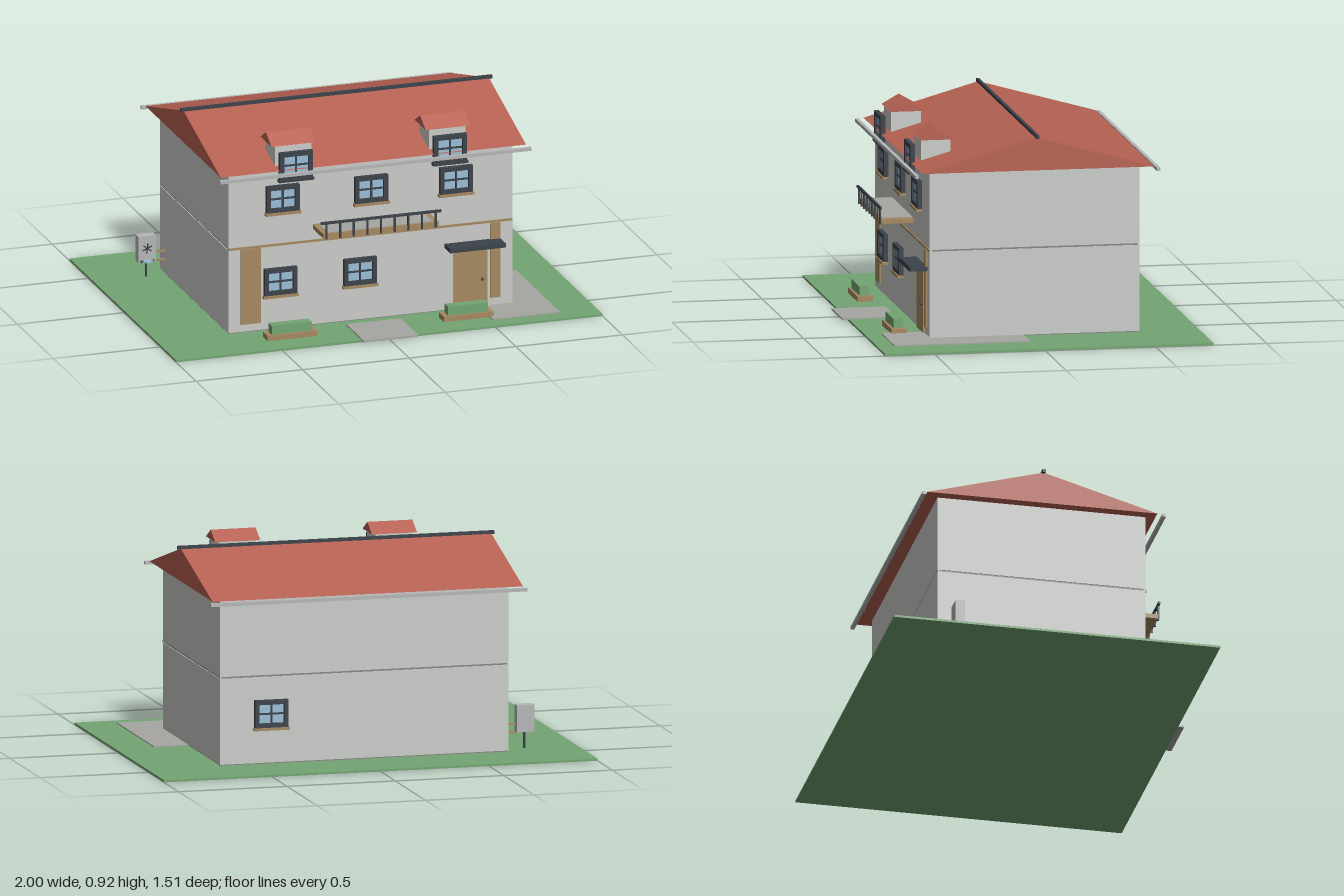
import * as THREE from 'three';

const mat = (name, color) => {
  const m = new THREE.MeshStandardMaterial({ color });
  m.name = name;
  return m;
};

export function createModel() {
  const wall = mat('plaster', 0xcaccc8);
  const trim = mat('joint grey', 0x858784);
  const red = mat('roof tile', 0xb66152);
  const wood = mat('wood', 0xa5885f);
  const dark = mat('dark metal', 0x3c424a);
  const glass = mat('glass', 0x9abdd6);
  const grass = mat('grass', 0x74a573);
  const stone = mat('paving', 0xa6a6a2);
  const metal = mat('light metal', 0xb4b7b6);
  const house = new THREE.Group();
  house.name = 'house';

  const add = (parent, name, geometry, material) => {
    const m = new THREE.Mesh(geometry, material);
    m.name = name;
    parent.add(m);
    return m;
  };
  // Box given by its minimum and maximum on each axis
  const box = (name, material, x0, x1, y0, y1, z0, z1, parent = house) => {
    const m = add(parent, name, new THREE.BoxGeometry(x1 - x0, y1 - y0, z1 - z0), material);
    m.position.set((x0 + x1) / 2, (y0 + y1) / 2, (z0 + z1) / 2);
    return m;
  };
  // Gable roof with its ridge along x
  const gable = (name, x0, x1, y0, y1, z0, z1, ridgeZ) => {
    const s = new THREE.Shape();
    s.moveTo(-z1, y0);
    s.lineTo(-z0, y0);
    s.lineTo(-ridgeZ, y1);
    s.closePath();
    const g = new THREE.ExtrudeGeometry(s, { depth: x1 - x0, bevelEnabled: false });
    g.rotateY(Math.PI / 2);
    g.translate(x0, 0, 0);
    return add(house, name, g, red);
  };

  // Ground and paving
  box('lawn', grass, -1, 1, 0, 0.01, -0.76, 0.725);
  box('frontPath', stone, -0.13, 0.125, 0.008, 0.016, 0.51, 0.755);
  box('sidePath', stone, 0.51, 0.825, 0.008, 0.015, -0.035 + 0.07, 0.65);

  // Recessed core showing as joints between the wall panels
  box('wallCore', trim, -0.663, 0.663, 0.01, 0.765, -0.484, 0.455);
  for (const [y0, y1] of [[0.015, 0.403], [0.411, 0.764]]) {
    for (const s of [-1, 1]) {
      box('sideWall', wall, s > 0 ? 0.655 : -0.667, s > 0 ? 0.667 : -0.655, y0, y1, -0.48, 0.451);
    }
    box('frontWall', wall, -0.66, 0.66, y0, y1, 0.445, 0.46);
    box('backWall', wall, -0.66, 0.66, y0, y1, -0.488, -0.475);
  }
  for (const x of [-0.662, 0.662]) for (const z of [-0.483, 0.455])
    box('cornerPost', wall, x - 0.004, x + 0.004, 0.015, 0.764, z - 0.004, z + 0.004);
  box('floorBand', wood, -0.665, 0.665, 0.402, 0.412, 0.455, 0.465);

  // Main roof, ridge cap and gutters
  gable('mainRoof', -0.716, 0.716, 0.764, 0.912, -0.545, 0.502, -0.016);
  box('ridgeCap', dark, -0.73, 0.73, 0.908, 0.924, -0.023, -0.009);
  for (const z of [-0.562, 0.53])
    box('gutter', metal, -0.73, 0.73, 0.745, 0.76, z - 0.008, z + 0.008);

  // Framed window with four panes and a sill, built facing +z
  const makeWindow = (x, y, z, back = false) => {
    const w = new THREE.Group();
    w.name = 'window';
    const W = 0.077, H = 0.062, t = 0.02;
    const s = new THREE.Shape([[-W, -H], [W, -H], [W, H], [-W, H]].map(p => new THREE.Vector2(...p)));
    const a = W - t, b = H - t;
    s.holes.push(new THREE.Path([[-a, -b], [-a, b], [a, b], [a, -b]].map(p => new THREE.Vector2(...p))));
    add(w, 'windowFrame', new THREE.ExtrudeGeometry(s, { depth: 0.022, bevelEnabled: false }), dark);
    box('windowPane', glass, -a, a, -b, b, 0.002, 0.01, w);
    box('mullion', dark, -0.004, 0.004, -b, b, 0.006, 0.016, w);
    box('transom', dark, -a, a, -0.004, 0.004, 0.006, 0.016, w);
    box('windowSill', wood, -0.082, 0.082, -H - 0.012, -H, 0, 0.028, w);
    w.position.set(x, y, z);
    if (back) w.rotation.y = Math.PI;
    house.add(w);
    return w;
  };
  for (const x of [-0.415, 0, 0.398]) makeWindow(x, 0.625, 0.459);
  makeWindow(-0.425, 0.238, 0.459);
  makeWindow(-0.052, 0.244, 0.459);
  makeWindow(0.433, 0.238, -0.49, true);

  // Dormers
  for (const x of [-0.362, 0.361]) {
    box('dormerBody', wall, x - 0.085, x + 0.085, 0.765, 0.872, 0.325, 0.46);
    gable('dormerRoof', x - 0.104, x + 0.104, 0.87, 0.914, 0.313, 0.468, 0.39);
    const w = makeWindow(x, 0.785, 0.484);
    w.name = 'dormerWindow';
    w.children[4].material = dark;
  }

  // Balcony
  box('balconySlab', wood, -0.27, 0.272, 0.463, 0.484, 0.455, 0.606);
  box('balconyFloor', stone, -0.247, 0.245, 0.482, 0.487, 0.46, 0.597);
  box('handrail', dark, -0.282, 0.282, 0.53, 0.541, 0.604, 0.614);
  for (let i = 0; i < 9; i++) {
    const x = -0.256 + i * 0.064;
    box('baluster', dark, x - 0.004, x + 0.004, 0.46, 0.533, 0.605, 0.613);
  }

  // Door, canopy and tall wooden panels
  box('door', wood, 0.39, 0.547, 0.016, 0.305, 0.455, 0.469);
  const knob = add(house, 'doorKnob', new THREE.SphereGeometry(0.007, 12, 8), dark);
  knob.position.set(0.522, 0.145, 0.473);
  box('doorCanopy', dark, 0.348, 0.608, 0.305, 0.325, 0.458, 0.54);
  box('woodPanelWide', wood, -0.61, -0.515, 0.05, 0.4, 0.455, 0.468);
  box('woodPanelNarrow', wood, 0.56, 0.607, 0.05, 0.4, 0.455, 0.468);

  // Planters
  for (const x of [-0.414, 0.412]) {
    box('planter', wood, x - 0.117, x + 0.117, 0.01, 0.034, 0.538, 0.607);
    box('hedge', grass, x - 0.094, x + 0.094, 0.03, 0.076, 0.55, 0.595);
  }

  // Wall unit on a post at the side
  const unit = new THREE.Group();
  unit.name = 'sideUnit';
  house.add(unit);
  box('unitCase', metal, -0.8, -0.718, 0.085, 0.207, -0.436, -0.392, unit);
  box('unitPost', dark, -0.761, -0.753, 0.01, 0.087, -0.42, -0.412, unit);
  for (const y of [0.083, 0.122])
    box('unitArm', wood, -0.725, -0.66, y - 0.004, y + 0.004, -0.42, -0.41, unit);
  box('unitTray', dark, -0.79, -0.726, 0.086, 0.096, -0.394, -0.386, unit);
  const bowl = add(unit, 'unitBowl', new THREE.CylinderGeometry(0.026, 0.026, 0.008, 20, 1, false, -Math.PI / 2, Math.PI), glass);
  bowl.position.set(-0.758, 0.092, -0.392);
  for (let i = 0; i < 3; i++) {
    const blade = add(unit, 'unitBlade', new THREE.BoxGeometry(0.046, 0.005, 0.004), dark);
    blade.position.set(-0.759, 0.15, -0.39);
    blade.rotation.z = 0.4 + i * Math.PI / 3;
  }
  return house;
}
